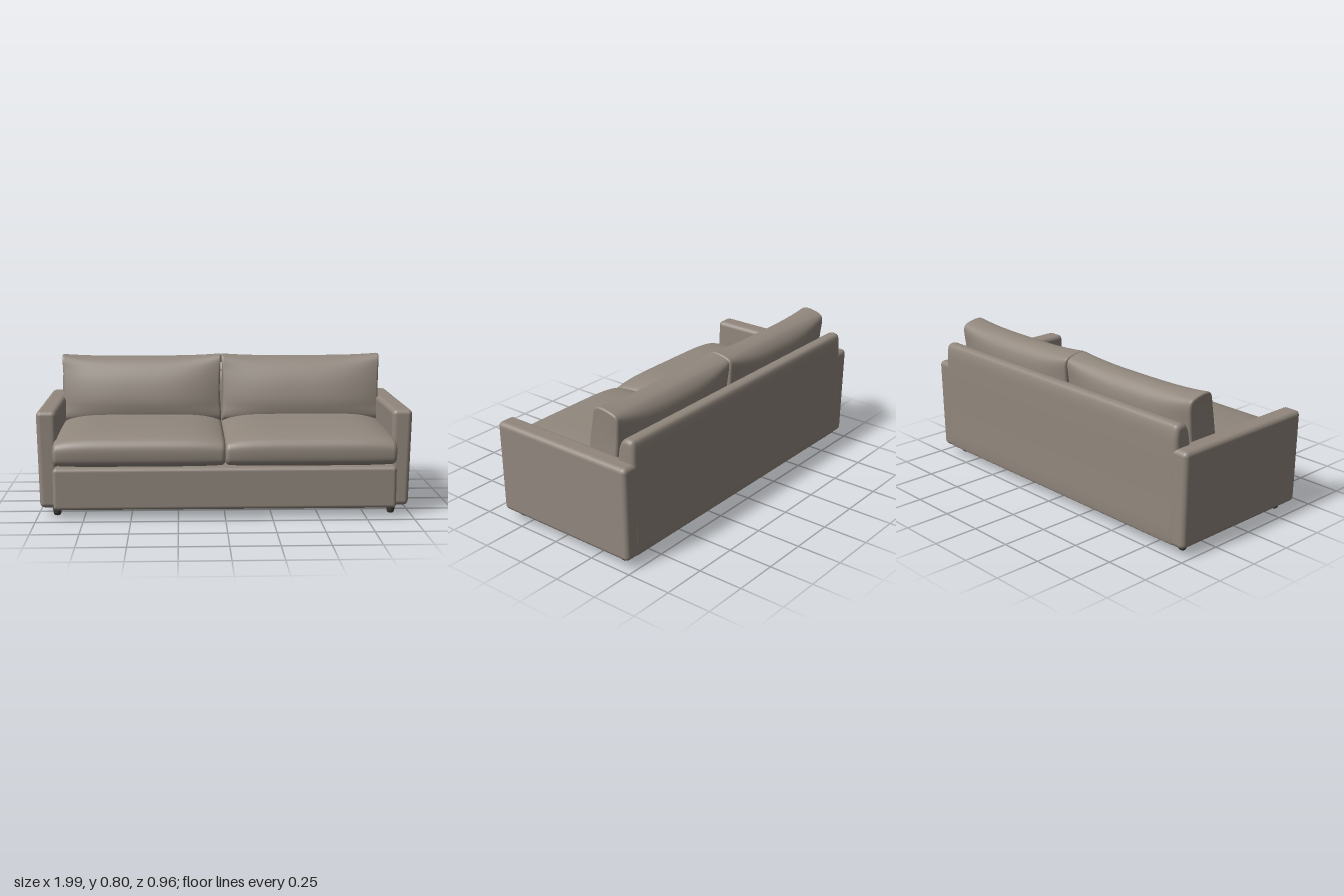
import * as THREE from 'three';
import { RoundedBoxGeometry } from 'three/addons/geometries/RoundedBoxGeometry.js';

// Upholstered form lofted along x: the section blends from `end` to `mid`
// (closed [z, y] outlines) and the two ends are rounded off by radius r.
function loft(mid, end, half, r, power) {
  const N = 64;
  const outline = (pts) => new THREE.CatmullRomCurve3(
    pts.map(([z, y]) => new THREE.Vector3(0, y, z)), true, 'centripetal').getPoints(N).slice(0, N);
  const A = outline(mid), B = outline(end);

  const stations = []; // [x, inset]
  for (let i = 0; i <= 6; i++) {
    const a = (i / 6) * Math.PI / 2;
    stations.push([-half + r * (1 - Math.sin(a)), r * (1 - Math.cos(a))]);
  }
  stations.reverse();
  stations.forEach((s, i) => { s[1] = r * (1 - Math.cos((1 - i / 6) * Math.PI / 2)); });
  stations.sort((p, q) => p[0] - q[0]);
  stations.forEach((s, i) => { s[1] = r * (1 - Math.sin((i / 6) * Math.PI / 2));
    s[0] = -half + r * (1 - Math.cos((i / 6) * Math.PI / 2)); });
  const right = stations.map(([x, d]) => [-x, d]).reverse();
  const span = half - r;
  for (let i = 1; i < 40; i++) stations.push([-span * Math.cos((i / 40) * Math.PI), 0]);
  stations.push(...right);

  const pos = [], index = [];
  const box = new THREE.Box3(), c = new THREE.Vector3(), size = new THREE.Vector3();
  const centres = [];
  stations.forEach(([x, inset]) => {
    const t = Math.pow(Math.abs(x) / half, power);
    const ring = A.map((p, j) => p.clone().lerp(B[j], t));
    box.setFromPoints(ring).getCenter(c);
    box.getSize(size);
    const sy = 1 - 2 * inset / size.y, sz = 1 - 2 * inset / size.z;
    ring.forEach((p) => pos.push(x, c.y + (p.y - c.y) * sy, c.z + (p.z - c.z) * sz));
    centres.push([x, c.y, c.z]);
  });
  const last = stations.length - 1;
  for (let i = 0; i < last; i++) {
    for (let j = 0; j < N; j++) {
      const k = (j + 1) % N;
      const a = i * N + j, b = a + N, d = i * N + k, e = d + N;
      index.push(a, b, e, a, e, d);
    }
  }
  // end caps
  const c0 = pos.length / 3;
  pos.push(...centres[0], ...centres[last]);
  for (let j = 0; j < N; j++) {
    const k = (j + 1) % N;
    index.push(c0, j, k, c0 + 1, last * N + k, last * N + j);
  }
  const g = new THREE.BufferGeometry();
  g.setAttribute('position', new THREE.Float32BufferAttribute(pos, 3));
  g.setIndex(index);
  g.computeVertexNormals();
  return g;
}

// Move each vertex by a rule
function reshape(g, rule) {
  const p = g.attributes.position, v = new THREE.Vector3();
  for (let i = 0; i < p.count; i++) {
    rule(v.fromBufferAttribute(p, i));
    p.setXYZ(i, v.x, v.y, v.z);
  }
  return g;
}

export function createModel() {
  const sofa = new THREE.Group();
  sofa.name = 'sofa';
  const fabric = new THREE.MeshStandardMaterial({ color: 0x91877d });
  fabric.name = 'taupe fabric';
  const dark = new THREE.MeshStandardMaterial({ color: 0x3c3937 });
  dark.name = 'dark leg';

  const add = (name, geometry, material, x = 0, y = 0, z = 0) => {
    const m = new THREE.Mesh(geometry, material);
    m.name = name;
    m.position.set(x, y, z);
    sofa.add(m);
    return m;
  };

  // Base with its front rail
  add('base', new RoundedBoxGeometry(1.82, 0.225, 0.925, 5, 0.02), fabric, 0, 0.1625, -0.0075);

  // Back rest
  const back = [[-0.365, 0.055], [-0.36, 0.07], [-0.36, 0.3], [-0.363, 0.5], [-0.373, 0.59], [-0.386, 0.65],
    [-0.405, 0.68], [-0.432, 0.69], [-0.463, 0.684], [-0.475, 0.655], [-0.48, 0.56], [-0.48, 0.3],
    [-0.48, 0.07], [-0.474, 0.055]];
  add('backRest', loft(back, back, 0.927, 0.025, 2), fabric);

  // Seat cushions
  const seatMid = [[0.44, 0.283], [0.472, 0.305], [0.482, 0.35], [0.477, 0.395], [0.45, 0.428], [0.38, 0.452],
    [0.2, 0.47], [0, 0.473], [-0.2, 0.467], [-0.33, 0.44], [-0.34, 0.3], [0, 0.28]];
  const seatEnd = [[0.44, 0.29], [0.468, 0.31], [0.474, 0.345], [0.47, 0.38], [0.45, 0.402], [0.38, 0.415],
    [0.2, 0.425], [0, 0.428], [-0.2, 0.425], [-0.33, 0.41], [-0.34, 0.3], [0, 0.285]];
  const seat = loft(seatMid, seatEnd, 0.454, 0.022, 5);

  // Back cushions, plump in the middle and pinched at the sides
  const pillowMid = [[-0.13, 0.44], [-0.11, 0.52], [-0.122, 0.6], [-0.155, 0.69], [-0.205, 0.762],
    [-0.25, 0.787], [-0.33, 0.782], [-0.375, 0.74], [-0.39, 0.67], [-0.38, 0.56], [-0.35, 0.44], [-0.24, 0.415]];
  const pillowEnd = [[-0.16, 0.44], [-0.163, 0.52], [-0.175, 0.62], [-0.195, 0.72], [-0.215, 0.79],
    [-0.245, 0.805], [-0.345, 0.785], [-0.36, 0.765], [-0.355, 0.67], [-0.345, 0.56], [-0.33, 0.44], [-0.24, 0.415]];
  const pillow = reshape(loft(pillowMid, pillowEnd, 0.456, 0.012, 3), (v) => {
    v.x *= 1 - 0.022 * Math.sin(Math.PI * THREE.MathUtils.clamp((v.y - 0.42) / 0.38, 0, 1));
  });
  pillow.computeVertexNormals();

  // Arms, slightly narrower towards the floor, and the legs
  const leg = new THREE.LatheGeometry([[0, 0], [0.014, 0], [0.019, 0.005], [0.021, 0.015], [0.024, 0.045], [0.024, 0.07]]
    .map(([r, y]) => new THREE.Vector2(r, y)), 20);
  for (const [side, s] of [['left', 1], ['right', -1]]) {
    add(side + 'SeatCushion', seat, fabric, s * 0.453);
    add(side + 'BackCushion', pillow, fabric, s * 0.456);
    const arm = reshape(new RoundedBoxGeometry(0.108, 0.52, 0.872, 6, 0.026), (v) => {
      if (v.x * s > 0) v.x -= s * 0.012 * (0.26 - v.y) / 0.52;
    });
    add(side + 'Arm', arm, fabric, s * 0.944, 0.31, -0.045);
    add(side + 'FrontLeg', leg, dark, s * 0.9, 0, 0.33);
    add(side + 'BackLeg', leg, dark, s * 0.9, 0, -0.388);
  }
  add('centreLeg', leg, dark, 0, 0, 0.015);
  return sofa;
}
